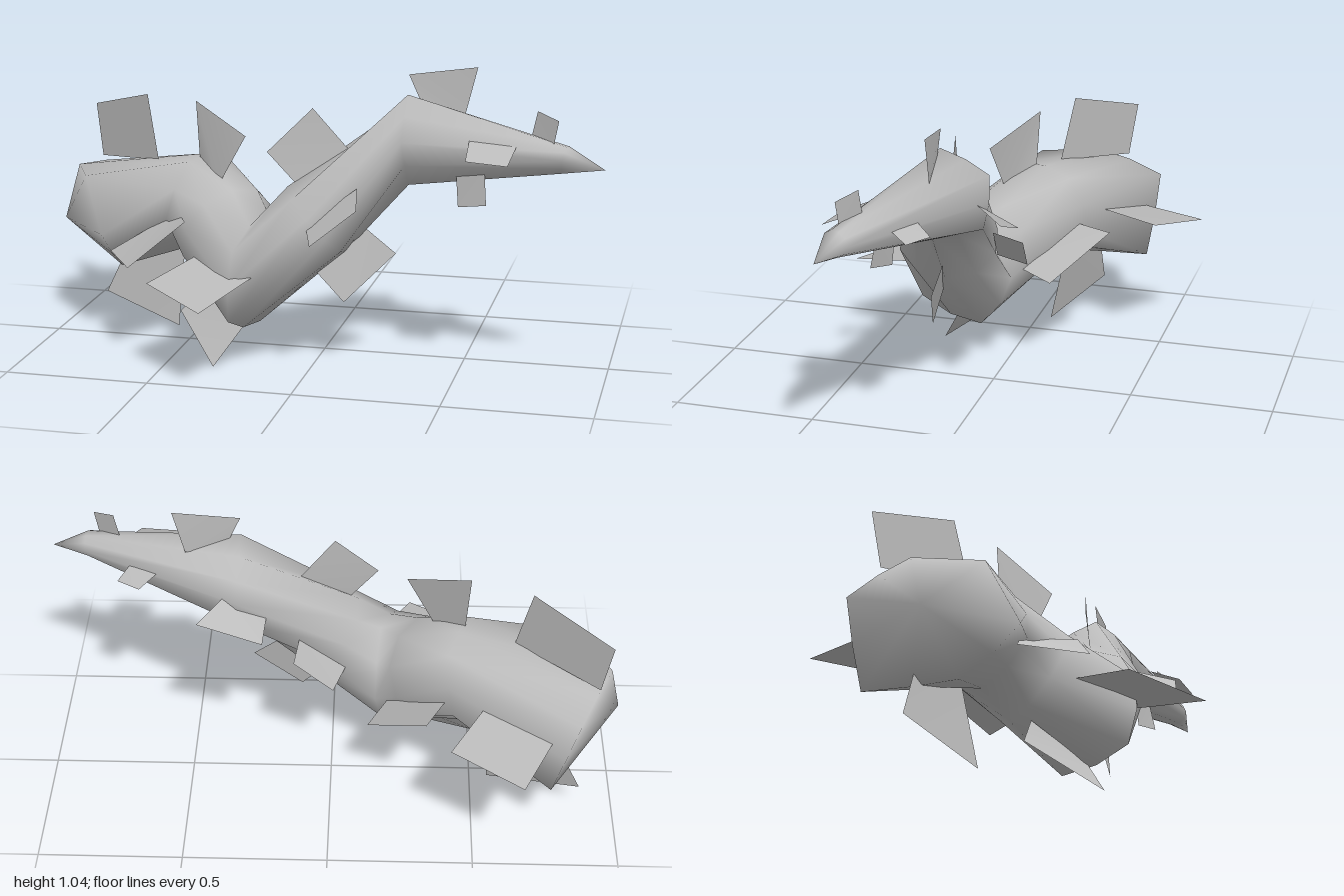
import * as THREE from 'three';

const grey = new THREE.MeshStandardMaterial({ color: 0xbcbcbc });
grey.name = 'grey';
const leafGrey = grey.clone();
leafGrey.side = THREE.DoubleSide;

const SIDES = 10;

// Rounded five-cornered cross-section: centre, axis, radius, turn in degrees, roundness of the edges, widening
function ring(center, axis, radius, turn, roundness, widen = 1) {
  const c = new THREE.Vector3(...center);
  const n = new THREE.Vector3(...axis).normalize();
  const up = new THREE.Vector3(0, 1, 0).addScaledVector(n, -n.y).normalize();
  const side = new THREE.Vector3().crossVectors(n, up).multiplyScalar(widen);
  const points = [];
  for (let k = 0; k < SIDES; k++) {
    const a = THREE.MathUtils.degToRad(turn + k * 36);
    const r = k % 2 ? radius * THREE.MathUtils.lerp(0.809, 1, roundness) : radius;
    points.push(c.clone().addScaledVector(up, r * Math.cos(a)).addScaledVector(side, r * Math.sin(a)).toArray());
  }
  return points;
}

// Uneven cross-section of the thick end
const baseRing = [
  [-0.96, 0.59, -0.16], [-0.86, 0.60, 0.05], [-0.775, 0.41, 0.14], [-0.77, 0.32, 0.05], [-0.77, 0.245, -0.06],
  [-0.76, 0.245, -0.22], [-0.76, 0.25, -0.39], [-0.80, 0.40, -0.41], [-0.84, 0.55, -0.42], [-0.90, 0.58, -0.29],
];

// Winding, tapering stem closed by a point at each end
function createStem() {
  const rings = [
    baseRing,
    ring([-0.475, 0.51, -0.07], [0.9, -0.2, 0.37], 0.185, 31, 0.6),
    ring([-0.34, 0.43, 0.05], [0.65, -0.4, 0.6], 0.182, 44, 1),
    ring([-0.205, 0.325, 0.188], [0.95, -0.1, 0.22], 0.215, 57, 0.5),
    ring([0.01, 0.522, 0.16], [0.72, 0.66, -0.15], 0.15, 35, 1, 1.18),
    ring([0.315, 0.795, 0.06], [1, 0.04, 0.03], 0.16, 12, 0.3),
    ring([0.86, 0.793, 0.26], [1, -0.1, 0.2], 0.046, 12, 1),
  ];
  const positions = [...rings.flat(2), -1, 0.40, -0.11, 0.99, 0.77, 0.28];
  const count = rings.length * SIDES;
  const index = [];
  for (let k = 0; k < SIDES; k++) {
    const next = (k + 1) % SIDES;
    for (let i = 0; i < rings.length - 1; i++) {
      const a = i * SIDES + k, b = i * SIDES + next;
      index.push(a, b, a + SIDES, b, b + SIDES, a + SIDES);
    }
    index.push(count, next, k);
    index.push(count + 1, count - SIDES + k, count - SIDES + next);
  }
  const geometry = new THREE.BufferGeometry();
  geometry.setAttribute('position', new THREE.Float32BufferAttribute(positions, 3));
  geometry.setIndex(index);
  geometry.computeVertexNormals();
  const mesh = new THREE.Mesh(geometry, grey);
  mesh.name = 'stem';
  return mesh;
}

// Flat four-cornered leaf
function createLeaf(name, ...corners) {
  const geometry = new THREE.BufferGeometry();
  geometry.setAttribute('position', new THREE.Float32BufferAttribute(corners.flat(), 3));
  geometry.setIndex([0, 1, 2, 0, 2, 3]);
  geometry.computeVertexNormals();
  const mesh = new THREE.Mesh(geometry, leafGrey);
  mesh.name = name;
  return mesh;
}

export function createModel() {
  const model = new THREE.Group();
  model.name = 'leafyStem';
  model.add(createStem());

  // Leaves around the thick end
  model.add(
    createLeaf('baseTopLeaf', [-0.94, 0.79, -0.305], [-0.68, 0.87, -0.12], [-0.63, 0.64, -0.08], [-0.91, 0.60, -0.28]),
    createLeaf('baseBottomLeaf', [-0.88, 0.10, -0.2], [-0.56, 0.03, -0.065], [-0.55, 0.34, -0.13], [-0.77, 0.33, -0.2]),
    createLeaf('baseBackLeaf', [-0.65, 0.45, -0.62], [-0.41, 0.495, -0.49], [-0.53, 0.50, -0.26], [-0.76, 0.45, -0.37]),
    createLeaf('baseFrontLeaf', [-0.62, 0.35, 0.32], [-0.44, 0.50, 0.23], [-0.52, 0.49, 0.06], [-0.75, 0.35, 0.12]),
  );

  // Leaves around the first bend
  model.add(
    createLeaf('bendTopLeaf', [-0.475, 0.87, -0.04], [-0.26, 0.78, 0.09], [-0.37, 0.59, 0.06], [-0.46, 0.65, -0.03]),
    createLeaf('bendBottomLeaf', [-0.51, 0.13, 0.07], [-0.33, 0.005, 0.285], [-0.23, 0.15, 0.2], [-0.40, 0.25, 0.06]),
    createLeaf('bendBackLeaf', [-0.33, 0.48, -0.34], [-0.13, 0.34, -0.17], [-0.21, 0.36, -0.03], [-0.40, 0.48, -0.2]),
    createLeaf('bendFrontLeaf', [-0.52, 0.33, 0.42], [-0.28, 0.30, 0.615], [-0.17, 0.355, 0.36], [-0.40, 0.38, 0.19]),
  );

  // Leaves along the rising middle
  model.add(
    createLeaf('middleTopLeaf', [-0.16, 0.75, 0.18], [-0.01, 0.90, 0.14], [0.11, 0.76, 0.12], [-0.04, 0.62, 0.17]),
    createLeaf('middleBottomLeaf', [0.11, 0.24, 0.19], [0.28, 0.41, 0.14], [0.16, 0.50, 0.13], [0.01, 0.34, 0.18]),
    createLeaf('middleBackLeaf', [-0.01, 0.45, -0.12], [0.125, 0.58, -0.14], [0.11, 0.60, -0.03], [-0.05, 0.46, 0]),
    createLeaf('middleFrontLeaf', [0.05, 0.50, 0.445], [0.20, 0.62, 0.41], [0.17, 0.66, 0.27], [0, 0.53, 0.29]),
  );

  // Leaves at the upper bend
  model.add(
    createLeaf('upperTopLeaf', [0.31, 1.02, 0.09], [0.54, 1.05, 0.07], [0.50, 0.89, 0.07], [0.36, 0.91, 0.09]),
    createLeaf('upperBackLeaf', [0.23, 0.67, -0.155], [0.45, 0.75, -0.155], [0.36, 0.79, -0.04], [0.22, 0.71, -0.05]),
  );

  // Leaves near the tip
  model.add(
    createLeaf('tipTopLeaf', [0.76, 0.94, 0.215], [0.835, 0.92, 0.265], [0.82, 0.84, 0.26], [0.74, 0.85, 0.21]),
    createLeaf('tipBottomLeaf', [0.50, 0.60, 0.2], [0.60, 0.62, 0.24], [0.59, 0.73, 0.22], [0.49, 0.72, 0.19]),
    createLeaf('tipBackLeaf', [0.66, 0.77, 0.015], [0.74, 0.765, 0.07], [0.69, 0.80, 0.15], [0.59, 0.80, 0.09]),
    createLeaf('tipFrontLeaf', [0.545, 0.79, 0.35], [0.685, 0.785, 0.37], [0.70, 0.83, 0.27], [0.54, 0.835, 0.24]),
  );
  return model;
}
